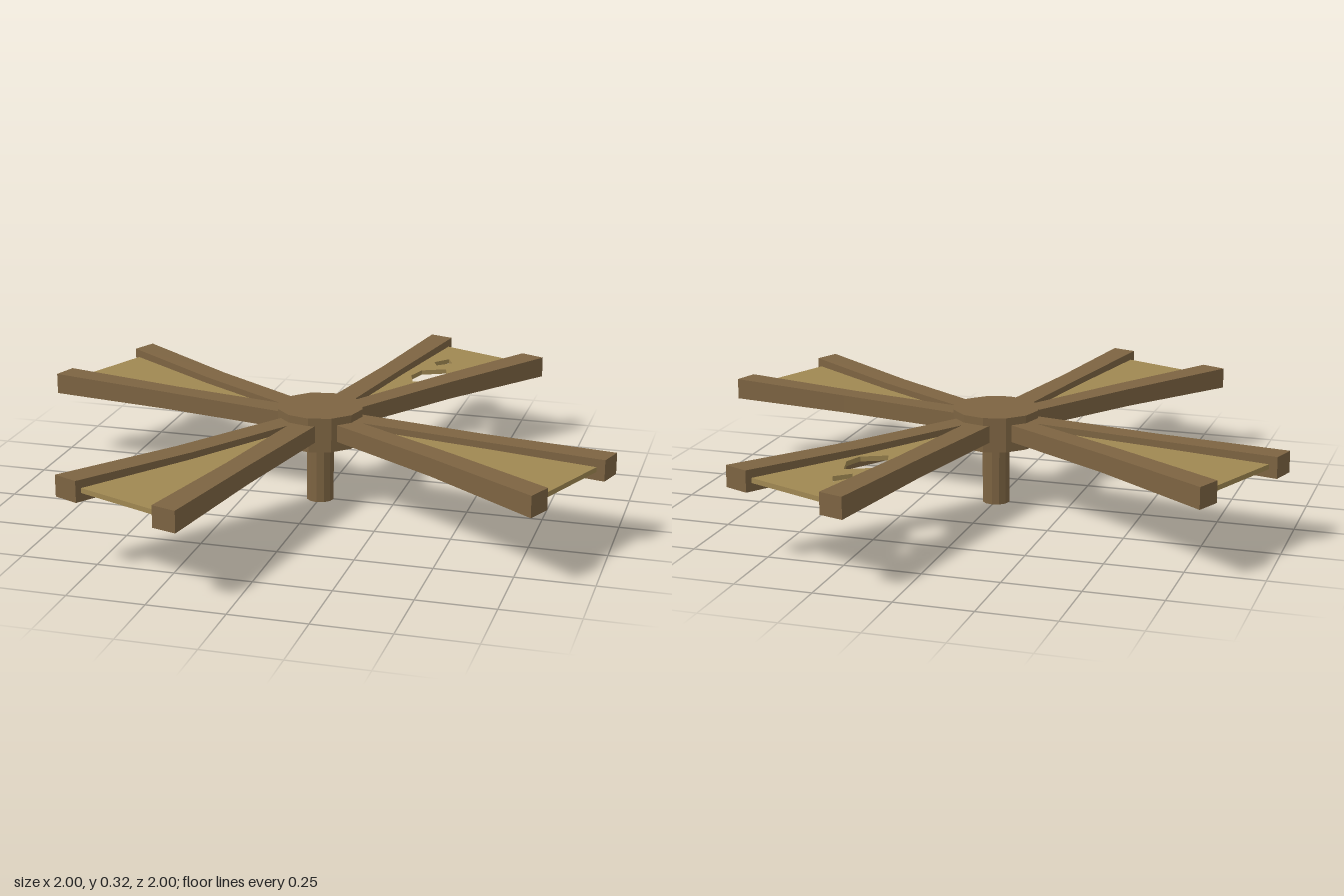
import * as THREE from 'three';

const MID_Y = 0.27;
const wood = new THREE.MeshStandardMaterial({ color: 0x7d6442, flatShading: true });
const cloth = new THREE.MeshStandardMaterial({ color: 0xa08852, flatShading: true });

function addMesh(parent, name, geometry, material) {
  const mesh = new THREE.Mesh(geometry, material);
  mesh.name = name;
  parent.add(mesh);
  return mesh;
}

// Beam lofted through sections [x at low z, low z, x at high z, high z, half height]
function beamGeometry(sections) {
  const pos = [];
  const index = [];
  for (const [x0, z0, x1, z1, h] of sections) {
    pos.push(x0, MID_Y - h, z0, x1, MID_Y - h, z1, x1, MID_Y + h, z1, x0, MID_Y + h, z0);
  }
  const last = (sections.length - 1) * 4;
  for (let s = 0; s < last; s += 4) {
    for (let k = 0; k < 4; k++) {
      const a = s + k, b = s + (k + 1) % 4;
      index.push(a, a + 4, b + 4, a, b + 4, b);
    }
  }
  index.push(0, 1, 2, 0, 2, 3, last, last + 2, last + 1, last, last + 3, last + 2);
  const g = new THREE.BufferGeometry();
  g.setAttribute('position', new THREE.Float32BufferAttribute(pos, 3));
  g.setIndex(index);
  g.computeVertexNormals();
  return g;
}

const toPoints = (list) => list.map(([x, z]) => new THREE.Vector2(x, z));

// Thin panel between the two beams, optionally with torn holes
function sailGeometry(holes) {
  const shape = new THREE.Shape(toPoints([[0.15, 0.06], [0.96, 0.195], [0.82, 0.535]]));
  for (const h of holes) shape.holes.push(new THREE.Path(toPoints(h)));
  const depth = 0.016;
  const g = new THREE.ExtrudeGeometry(shape, { depth, bevelEnabled: false });
  g.rotateX(Math.PI / 2);
  g.translate(0, MID_Y + depth / 2, 0);
  return g;
}

const tears = [
  [[0.663, 0.278], [0.583, 0.3], [0.524, 0.278], [0.487, 0.198], [0.556, 0.176], [0.626, 0.198]],
  [[0.79, 0.262], [0.743, 0.283], [0.7, 0.235], [0.738, 0.219]],
];

export function createModel() {
  const model = new THREE.Group();
  model.name = 'windmillRotor';

  // Axle and hub
  addMesh(model, 'axle', new THREE.CylinderGeometry(0.046, 0.046, 0.22, 12), wood).position.y = 0.11;
  addMesh(model, 'hub', new THREE.CylinderGeometry(0.144, 0.144, 0.115, 12), wood).position.y = 0.2665;

  // Four blades, each with two slightly bent, flaring beams and a sail
  const leadingBeam = beamGeometry([
    [0.08, -0.033, 0.08, 0.052, 0.028],
    [0.567, 0.07, 0.555, 0.142, 0.03],
    [1.0, 0.15, 0.975, 0.23, 0.035],
  ]);
  const trailingBeam = beamGeometry([
    [0.1, 0.03, 0.06, 0.093, 0.028],
    [0.494, 0.276, 0.449, 0.342, 0.03],
    [0.847, 0.52, 0.812, 0.6, 0.035],
  ]);
  for (let i = 0; i < 4; i++) {
    const blade = new THREE.Group();
    blade.name = `blade${i + 1}`;
    addMesh(blade, 'leadingBeam', leadingBeam, wood);
    addMesh(blade, 'trailingBeam', trailingBeam, wood);
    addMesh(blade, 'sail', sailGeometry(i === 1 ? tears : []), cloth);
    blade.rotation.y = i * Math.PI / 2;
    model.add(blade);
  }
  return model;
}
